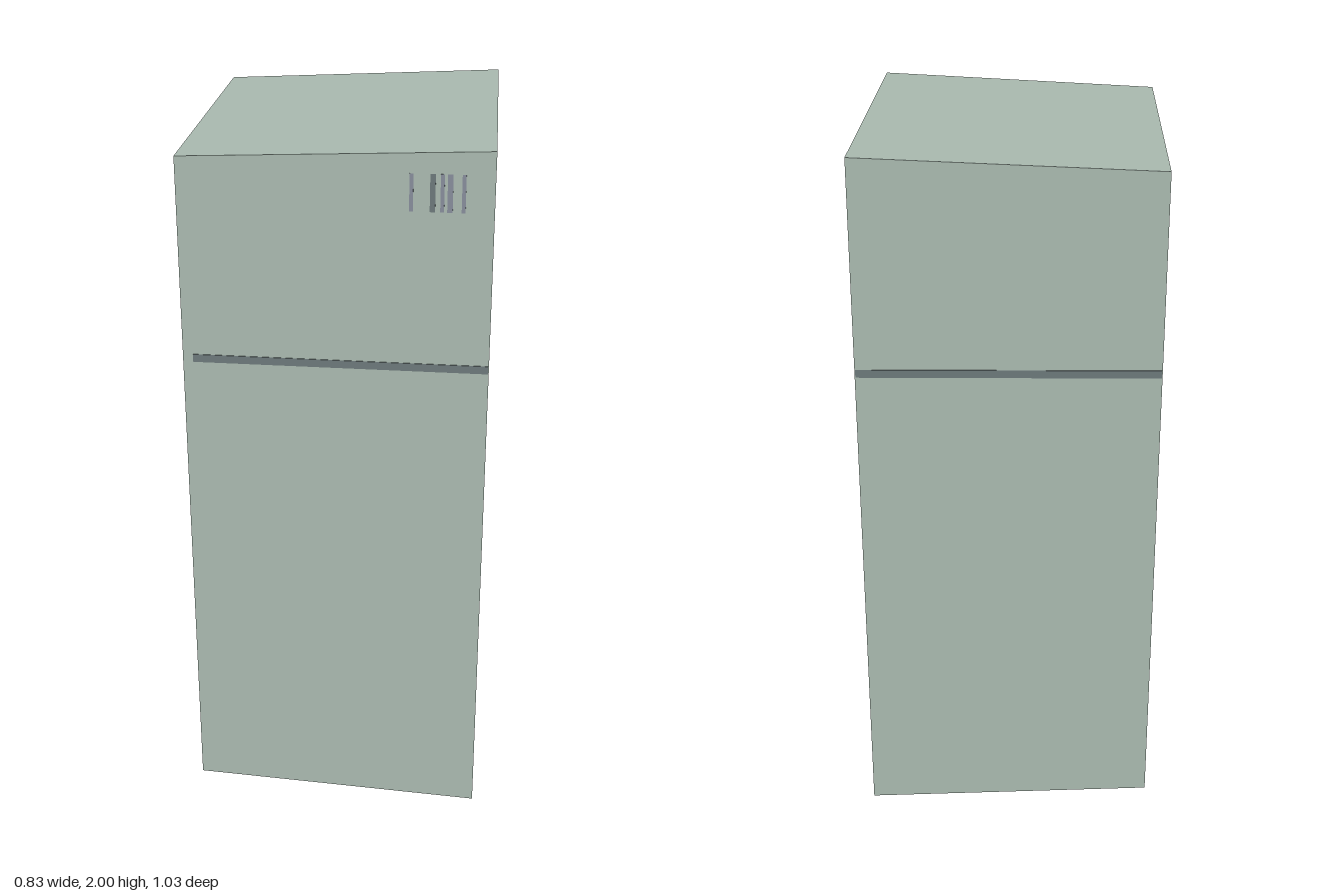
import * as THREE from 'three';

const mat = (name, color) => {
  const m = new THREE.MeshStandardMaterial({ color });
  m.name = name;
  return m;
};

// Box tapering along x. back/front: { x, y0, y1, z }. Face groups in order:
// top, bottom, +z side, -z side, back, front. inward turns the faces inside out.
function taperedBox(back, front, inward = false, open = false) {
  const corner = (s, top, side) => [s.x, top ? s.y1 : s.y0, side * s.z];
  const [a, b, c, d] = [[0, 1], [0, -1], [1, -1], [1, 1]].map(([t, s]) => corner(back, t, s));
  const [e, f, g, h] = [[0, 1], [0, -1], [1, -1], [1, 1]].map(([t, s]) => corner(front, t, s));
  const faces = [[d, h, g, c], [a, b, f, e], [a, e, h, d], [b, c, g, f], [a, d, c, b]];
  if (!open) faces.push([e, f, g, h]);
  const geo = new THREE.BufferGeometry();
  const pos = [];
  faces.forEach((q, i) => {
    const [p, r, s, t] = inward ? [...q].reverse() : q;
    pos.push(...p, ...r, ...s, ...p, ...s, ...t);
    geo.addGroup(i * 6, 6, i);
  });
  geo.setAttribute('position', new THREE.Float32BufferAttribute(pos, 3));
  geo.computeVertexNormals();
  return geo;
}

// Rectangle outline with cut corners
function cutRect(T, hw, y0, y1, c) {
  return new T([[-hw + c, y0], [hw - c, y0], [hw, y0 + c], [hw, y1 - c],
    [hw - c, y1], [-hw + c, y1], [-hw, y1 - c], [-hw, y0 + c]].map(p => new THREE.Vector2(...p)));
}

export function createModel() {
  const model = new THREE.Group();
  model.name = 'openRefrigerator';
  const green = mat('paleGreen', 0xa9b9af);
  const grey = mat('blueGrey', 0x8b959b);
  const band = mat('seamGrey', 0x6c787a);
  const purple = mat('dullPurple', 0x6c5b70);
  const slate = mat('slateGrey', 0x868c9a);

  const add = (name, geo, material, parent = model) => {
    const m = new THREE.Mesh(geo, material);
    m.name = name;
    parent.add(m);
    return m;
  };
  const bar = (name, size, at, material, parent) => {
    const m = add(name, new THREE.BoxGeometry(...size), material, parent);
    m.position.set(...at);
    return m;
  };

  // Outer shell, open at the +x end
  const X = 0.415;
  add('cabinetShell', taperedBox({ x: -X, y0: 0.035, y1: 1.965, z: 0.492 },
    { x: X, y0: 0, y1: 2, z: 0.512 }, false, true), Array(5).fill(green));

  // Compartments, seen from inside
  add('upperCompartment', taperedBox({ x: -0.4, y0: 1.445, y1: 1.935, z: 0.455 },
    { x: X, y0: 1.415, y1: 1.96, z: 0.47 }, true, true), [green, slate, green, green, green]);
  add('lowerCompartment', taperedBox({ x: -0.4, y0: 0.43, y1: 1.33, z: 0.455 },
    { x: X, y0: 0.42, y1: 1.36, z: 0.47 }, true, true), [slate, green, green, green, green]);

  // Frame around the openings
  const frame = cutRect(THREE.Shape, 0.512, 0, 2, 0);
  frame.holes.push(cutRect(THREE.Path, 0.47, 1.415, 1.96, 0), cutRect(THREE.Path, 0.47, 0.42, 1.36, 0));
  add('openingFrame', new THREE.ShapeGeometry(frame).rotateY(Math.PI / 2).translate(X, 0, 0), grey);

  // Drawer panel and its inlaid outline
  const drawer = new THREE.Group();
  drawer.name = 'drawer';
  model.add(drawer);
  add('drawerPanel', new THREE.ShapeGeometry(cutRect(THREE.Shape, 0.47, 0.05, 0.42, 0.02))
    .rotateY(Math.PI / 2).translate(X + 0.002, 0, 0), green, drawer);
  const ring = cutRect(THREE.Shape, 0.427, 0.093, 0.372, 0.022);
  ring.holes.push(cutRect(THREE.Path, 0.407, 0.111, 0.354, 0.015));
  add('drawerOutline', new THREE.ShapeGeometry(ring)
    .rotateY(Math.PI / 2).translate(X + 0.004, 0, 0), purple, drawer);

  // Wire shelves: a thin plate with fine rods on both faces
  for (const [y, t] of [[0.917, 0.012], [0.489, 0.006]]) {
    const shelf = new THREE.Group();
    shelf.name = 'shelf';
    model.add(shelf);
    add('shelfPlate', taperedBox({ x: -0.4, y0: y - t / 2, y1: y + t / 2, z: 0.455 },
      { x: 0.41, y0: y - t / 2, y1: y + t / 2, z: 0.469 }), Array(6).fill(green), shelf);
    for (let i = 0; i < 20; i++) {
      const z = -0.4 + i * 0.8 / 19;
      bar('shelfRod', [0.68, t + 0.004, 0.018], [0, y, z], i % 4 === 1 ? purple : slate, shelf);
    }
  }

  // Seam along both sides, following the taper
  const tilt = Math.atan2(0.02, 2 * X);
  for (const s of [1, -1]) {
    bar('sideSeam', [s > 0 ? 0.8 : 0.826, 0.022, 0.005], [s > 0 ? 0.013 : 0, 1.407, s * 0.502], band)
      .rotation.y = -s * tilt;
  }

  // Small vent slits on the side and on the upper back wall
  [0.2, 0.255, 0.28, 0.3, 0.335].forEach((x, i) => {
    bar('sideVent', [i % 2 ? 0.014 : 0.01, 0.1, 0.004], [x, 1.888, 0.502 + x * 0.024], i === 1 ? band : slate)
      .rotation.y = -tilt;
  });
  [-0.24, -0.262, -0.285, -0.325, -0.345].forEach((z, i) => {
    bar('backVent', [0.004, 0.095, 0.01], [-0.399, 1.82, z], i === 0 ? purple : slate);
  });

  return model;
}
